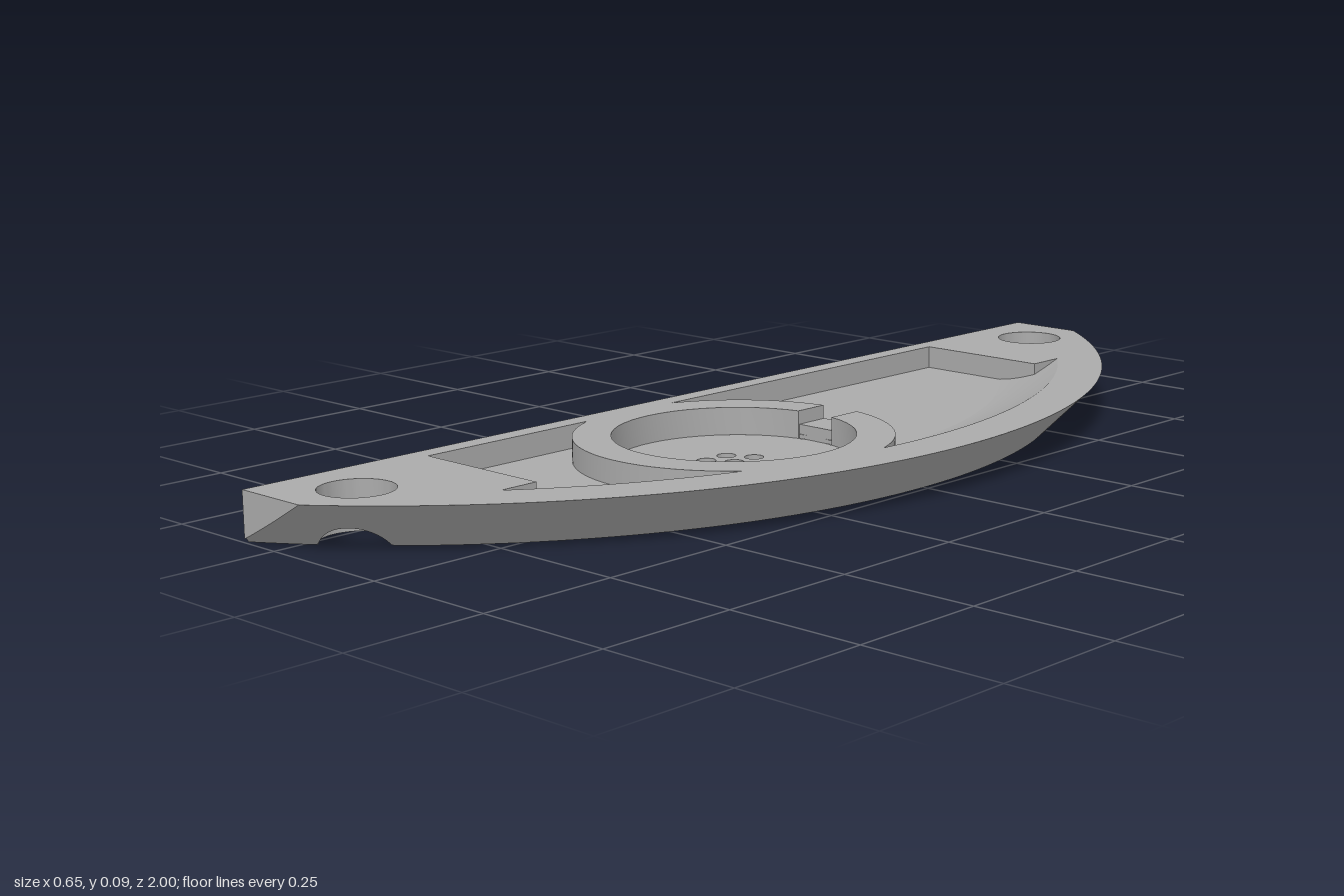
import * as THREE from 'three';
import { toCreasedNormals } from 'three/addons/utils/BufferGeometryUtils.js';

const TOP = 0.087, FLOOR = 0.044, CUP = 0.036, NOTCH = 0.062;
const CX = -0.9127, RT = 1.2397, R0 = RT - TOP; // centre and radii of the conical outer wall
const LEFT = -0.327;
const RING = { x: -0.03, z: 0.19, outer: 0.28, inner: 0.213 };
const HOLE = { x: -0.2, z: 0.873, r: 0.064 };
const { sin, cos, acos, asin, atan2, sqrt, hypot, PI, max, min } = Math;

const arc = (x, z, r, a0, a1, n = 48) =>
  Array.from({ length: n + 1 }, (_, i) => {
    const a = a0 + (a1 - a0) * i / n;
    return [x + r * cos(a), z + r * sin(a)];
  });
const circle = (x, z, r, n = 48) => arc(x, z, r, 0, 2 * PI, n).slice(0, n);

// polar angle and half-angle at which a circle crosses radius R around the big centre
function crossing(c, r, R) {
  const d = hypot(c.x - CX, c.z);
  return [atan2(c.z, c.x - CX), acos((R * R + d * d - r * r) / (2 * R * d))];
}

export function createModel() {
  const group = new THREE.Group();
  const grey = new THREE.MeshStandardMaterial({ color: 0xaaaaaa, side: THREE.DoubleSide });
  grey.name = 'grey';

  function add(name, geo) {
    const mesh = new THREE.Mesh(geo, grey);
    mesh.name = name;
    group.add(mesh);
  }

  // horizontal face from x,z outlines
  function flat(name, y, outline, holes = [], down = false) {
    const s = down ? 1 : -1;
    const vec = (pts) => pts.map(([x, z]) => new THREE.Vector2(x, s * z));
    const shape = new THREE.Shape(vec(outline));
    shape.holes = holes.map((h) => new THREE.Path(vec(h)));
    const geo = new THREE.ShapeGeometry(shape);
    geo.rotateX(s * PI / 2);
    geo.translate(0, y, 0);
    add(name, geo);
  }

  // grid surface from a rule (u, v in 0..1)
  function surface(name, nu, nv, fn) {
    const pos = [], idx = [];
    for (let i = 0; i <= nu; i++) for (let j = 0; j <= nv; j++) pos.push(...fn(i / nu, j / nv));
    for (let i = 0; i < nu; i++) for (let j = 0; j < nv; j++) {
      const a = i * (nv + 1) + j, b = a + nv + 1;
      idx.push(a, a + 1, b, b, a + 1, b + 1);
    }
    const geo = new THREE.BufferGeometry();
    geo.setAttribute('position', new THREE.Float32BufferAttribute(pos, 3));
    geo.setIndex(idx);
    add(name, toCreasedNormals(geo, 0.6));
  }

  // upright wall along a closed x,z path
  function wall(name, pts, y0, y1) {
    surface(name, pts.length, 1, (u, v) => {
      const [x, z] = pts[Math.round(u * pts.length) % pts.length];
      const low = typeof y0 === 'function' ? y0(x, z) : y0;
      return [x, v ? y1 : low, z];
    });
  }

  // pocket outlines around the raised ring
  const pocketEnd = acos((-0.02 - CX) / R0);
  const [ringA, ringD] = crossing(RING, RING.outer, R0);
  const ringAngle = (t) => atan2(R0 * sin(t) - RING.z, CX + R0 * cos(t) - RING.x);
  const leftAngle = PI - acos(0.26 / RING.outer);
  const nOut = asin(0.04 / RING.outer), nIn = asin(0.04 / RING.inner);
  const ringArc = (r, a0, a1) => arc(RING.x, RING.z, r, a0, a1);
  const pocketBack = [
    [-0.29, -0.655], [-0.02, -0.655],
    ...arc(CX, 0, R0, -pocketEnd, ringA - ringD),
    ...ringArc(RING.outer, ringAngle(ringA - ringD), -PI / 2 + nOut).slice(1),
    ...ringArc(RING.inner, -PI / 2 + nIn, 1.5 * PI - nIn),
    ...ringArc(RING.outer, -PI / 2 - nOut, -leftAngle),
  ];
  const pocketFront = [
    [-0.29, 0.655], [-0.02, 0.655],
    ...arc(CX, 0, R0, pocketEnd, ringA + ringD),
    ...ringArc(RING.outer, ringAngle(ringA + ringD), leftAngle).slice(1),
  ];
  const mountHoles = [-1, 1].map((s) => circle(HOLE.x, s * HOLE.z, HOLE.r));
  const cup = circle(RING.x, RING.z, RING.inner, 64);
  const drains = [circle(RING.x, RING.z, 0.017, 20)];
  for (let i = 0; i < 6; i++) {
    const a = PI / 2 + i * PI / 3;
    drains.push(circle(RING.x + 0.05 * cos(a), RING.z + 0.05 * sin(a), 0.017, 20));
  }

  // top rim with the flush ring
  const topEnd = atan2(1, -0.18 - CX);
  flat('topRim', TOP, [[LEFT, -1], ...arc(CX, 0, RT, -topEnd, topEnd, 96), [LEFT, 1]],
    [pocketBack, pocketFront, ...mountHoles]);
  wall('backPocketWall', pocketBack, CUP, TOP);
  wall('frontPocketWall', pocketFront, CUP, TOP);

  // recessed floors
  flat('pocketFloor', FLOOR, [[-0.29, -0.655], [-0.02, -0.655],
    ...arc(CX, 0, R0, -pocketEnd, pocketEnd), [-0.02, 0.655], [-0.29, 0.655]], [cup]);
  flat('cupFloor', CUP, cup, drains);
  const sill = new THREE.BoxGeometry(0.08, NOTCH - CUP, 0.067);
  sill.translate(RING.x, (NOTCH + CUP) / 2, -0.0555);
  add('notchSill', sill);

  // pocket slopes rising to the curved rim on both sides of the ring
  for (const s of [-1, 1]) {
    surface(s < 0 ? 'backSlope' : 'frontSlope', 40, 10, (u, v) => {
      const R = 1.04 + (R0 - 1.04) * v;
      const [a, d] = crossing(RING, RING.outer, R);
      const t = s * pocketEnd + (a + s * d - s * pocketEnd) * u;
      return [CX + R * cos(t), FLOOR + 0.0005 + (TOP - FLOOR - 0.0005) * v ** 1.35, R * sin(t)];
    });
  }

  // conical outer wall, trimmed by the ends and the mounting holes
  const wallEnd = acos((LEFT - CX) / R0);
  const holeD = hypot(HOLE.x - CX, HOLE.z), holeA = atan2(HOLE.z, HOLE.x - CX);
  surface('outerWall', 400, 4, (u, v) => {
    const t = wallEnd * (2 * u - 1), off = Math.abs(t) - holeA;
    const q = HOLE.r ** 2 - (holeD * sin(off)) ** 2;
    const low = q > 0 ? max(R0, holeD * cos(off) + sqrt(q)) : R0;
    const high = min(RT, 1 / max(0.01, Math.abs(sin(t))));
    const R = low + (high - low) * v;
    return [CX + R * cos(t), R - R0, R * sin(t)];
  });

  // flat ends and straight side
  for (const s of [-1, 1]) {
    surface(s < 0 ? 'backEnd' : 'frontEnd', 16, 1, (u, v) => {
      const x = LEFT + (-0.18 - LEFT) * u;
      return [x, v ? TOP : min(TOP, hypot(x - CX, 1) - R0), s];
    });
  }
  surface('straightSide', 1, 1, (u, v) => [LEFT, TOP * v, (2 * u - 1) * (v ? 1 : R0 * sin(wallEnd))]);

  // mounting hole bores and drain bores
  mountHoles.forEach((h) => wall('mountingBore', h, (x, z) => max(0, hypot(x - CX, z) - R0), TOP));
  drains.forEach((h) => wall('drainBore', h, 0, CUP));

  // underside, notched where the mounting holes break through the curved edge
  const [hA, hD] = crossing(HOLE, HOLE.r, R0);
  const bite = (t) => atan2(R0 * sin(t) - HOLE.z, CX + R0 * cos(t) - HOLE.x);
  const b0 = bite(hA - hD);
  let b1 = bite(hA + hD);
  if (b1 > b0) b1 -= 2 * PI;
  const half = [
    ...arc(CX, 0, R0, 0, hA - hD, 60),
    ...arc(HOLE.x, HOLE.z, HOLE.r, b0, b1, 30).slice(1, -1),
    ...arc(CX, 0, R0, hA + hD, wallEnd, 10),
  ];
  const mirrored = half.slice(1).reverse().map(([x, z]) => [x, -z]);
  flat('underside', 0, [...mirrored, ...half], drains, true);

  return group;
}
